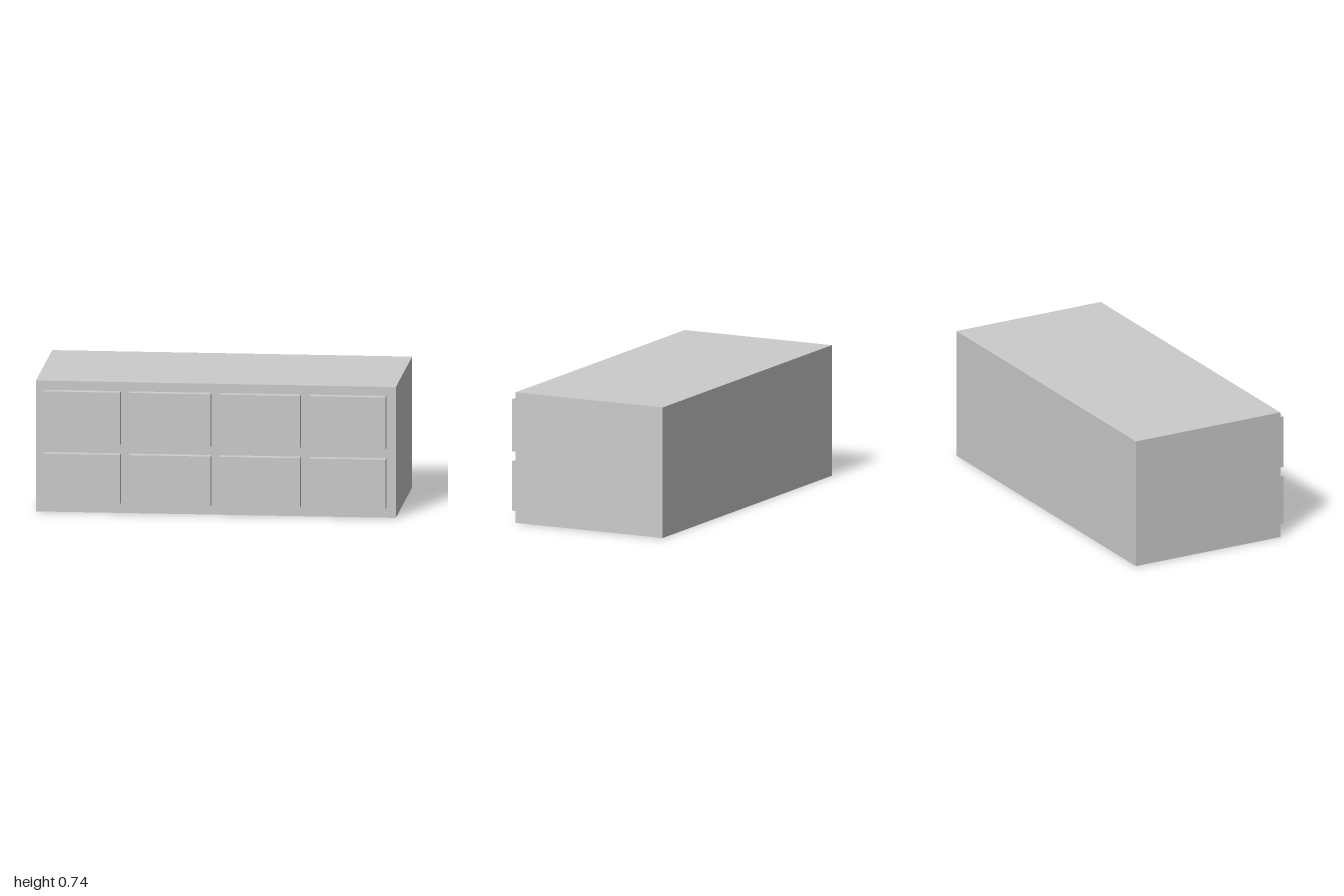
import * as THREE from 'three';

const material = new THREE.MeshStandardMaterial({ color: 0xcccccc, flatShading: true, side: THREE.DoubleSide });

// Box face order: +x, -x, +y, -y, +z, -z
const BOTTOM = 3, FRONT = 4, BACK = 5;

// Thin-walled box between two corners, leaving out the listed faces
function openBox(name, min, max, openFaces) {
  const size = max.map((v, i) => v - min[i]);
  const geometry = new THREE.BoxGeometry(...size);
  const index = Array.from(geometry.index.array);
  geometry.setIndex(index.filter((_, i) => !openFaces.includes(Math.floor(i / 6))));
  geometry.clearGroups();
  geometry.translate(...min.map((v, i) => v + size[i] / 2));
  const mesh = new THREE.Mesh(geometry, material);
  mesh.name = name;
  return mesh;
}

export function createModel() {
  const group = new THREE.Group();
  group.name = 'drawerCabinet';

  const height = 0.736, back = -0.485, front = 0.435, drawerFront = 0.485;
  const columns = [[-0.95, -0.528], [-0.476, -0.024], [0.025, 0.472], [0.525, 0.947]];
  const rows = [[0.055, 0.335], [0.389, 0.685]];

  // Cabinet walls and top, open underneath
  group.add(openBox('cabinetShell', [-1, 0, back], [1, height, front], [BOTTOM, FRONT]));

  // Front frame with an opening behind each drawer
  const frame = new THREE.Shape([[-1, 0], [1, 0], [1, height], [-1, height]].map(p => new THREE.Vector2(...p)));
  const drawers = new THREE.Group();
  drawers.name = 'drawers';
  for (const [y0, y1] of rows) {
    for (const [x0, x1] of columns) {
      frame.holes.push(new THREE.Path([[x0, y0], [x0, y1], [x1, y1], [x1, y0]].map(p => new THREE.Vector2(...p))));
      // Raised hollow drawer front, open towards the inside
      drawers.add(openBox('drawerFront', [x0, y0, front], [x1, y1, drawerFront], [BACK]));
    }
  }
  const frontFrame = new THREE.Mesh(new THREE.ShapeGeometry(frame), material);
  frontFrame.name = 'frontFrame';
  frontFrame.position.z = front;
  group.add(frontFrame, drawers);

  return group;
}
